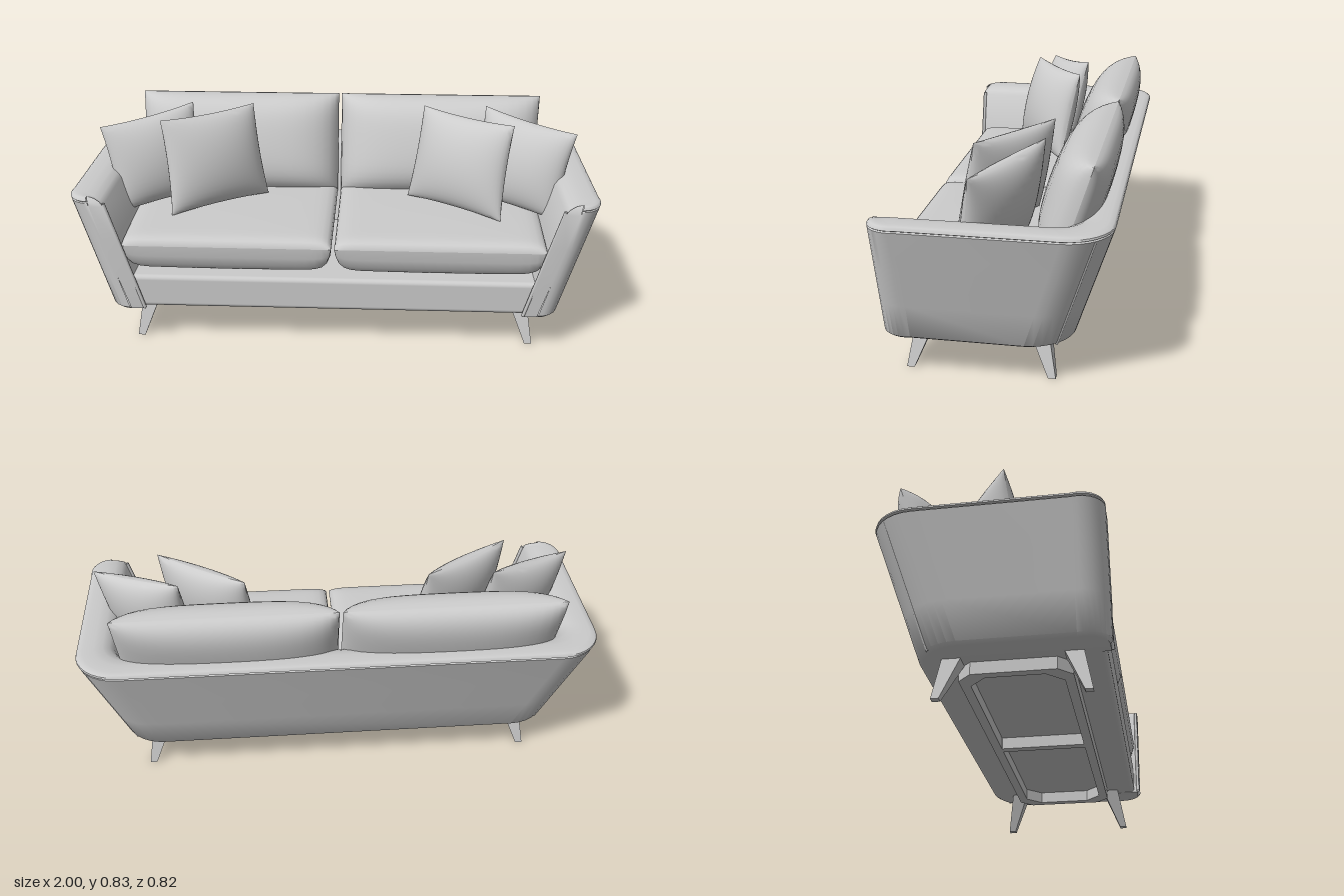
import * as THREE from 'three';
import { toCreasedNormals } from 'three/addons/utils/BufferGeometryUtils.js';
import { RoundedBoxGeometry } from 'three/addons/geometries/RoundedBoxGeometry.js';

const material = new THREE.MeshStandardMaterial({ color: 0xcccccc, side: THREE.DoubleSide });
const V = (x, y, z) => new THREE.Vector3(x, y, z);

function add(parent, name, geometry) {
  const mesh = new THREE.Mesh(geometry, material);
  mesh.name = name;
  parent.add(mesh);
  return mesh;
}

// Smooth surface from a grid of points: at(i, j) gives each vertex
function grid(ni, nj, at, crease = 0.7) {
  const pos = [], idx = [];
  for (let i = 0; i <= ni; i++)
    for (let j = 0; j <= nj; j++) pos.push(...at(i, j).toArray());
  for (let i = 0; i < ni; i++)
    for (let j = 0; j < nj; j++) {
      const a = i * (nj + 1) + j, b = a + nj + 1;
      idx.push(a, b, a + 1, b, b + 1, a + 1);
    }
  const g = new THREE.BufferGeometry();
  g.setAttribute('position', new THREE.Float32BufferAttribute(pos, 3));
  g.setIndex(idx);
  return toCreasedNormals(g, crease);
}

// Flaring shell: half width and back edge grow with height
const BOTTOM = 0.155, WALL = 0.13, FRONT = 0.41;
const flare = y => (y - BOTTOM) / 0.47;
const halfWidth = y => 0.865 + 0.135 * flare(y);
const backEdge = y => -0.26 - 0.15 * flare(y);

// U-shaped plan at height y, inset d from the outside, front pulled back by e
function plan(y, d, e) {
  const hx = halfWidth(y), x = hx - d, zb = backEdge(y) + d, zf = FRONT - e;
  const k = d / WALL, rf = 0.1 * (1 - k) + 0.012, rb = 0.16 - 0.07 * k;
  const half = [V(hx - WALL * 0.6, y, zf)];
  const corner = (cx, cz, r, from) => {
    for (let i = 0; i <= 8; i++) {
      const a = from - (i / 8) * Math.PI / 2;
      half.push(V(cx + r * Math.cos(a), y, cz + r * Math.sin(a)));
    }
  };
  // inner edge keeps its small corner within the front panel
  corner(x - Math.min(rf, Math.max(0.004, WALL * 0.6 - d)), zf - rf, rf, Math.PI / 2);
  const shift = x - half[9].x;
  for (let i = 1; i <= 9; i++) half[i].x += shift * ((i - 1) / 8);
  corner(x - rb, zb + rb, rb, 0);
  return [...half, ...half.slice().reverse().map(p => V(-p.x, p.y, p.z))];
}

function shell() {
  // rows: height, inset, front pull-back
  const rows = [
    [BOTTOM, WALL, 0.01], [BOTTOM, 0.012, 0.01], [0.165, 0, 0], [0.3, 0, 0], [0.45, 0, 0],
    [0.603, 0, 0], [0.607, 0.006, 0.004], [0.611, 0, 0], [0.618, 0.004, 0.004],
    [0.623, 0.012, 0.01], [0.625, 0.03, 0.02], [0.625, 0.07, 0.02], [0.62, 0.1, 0.014],
    [0.608, 0.12, 0.006], [0.59, WALL, 0], [0.45, WALL, 0], [0.3, WALL, 0], [BOTTOM, WALL, 0.01],
  ].map(r => plan(...r));
  return grid(rows[0].length - 1, rows.length - 1, (i, j) => rows[j][i]);
}

// Stuffed cushion spanned by four corners, bulging to both sides of its seam
function cushion([a, b, c, d], { front, back, n = 2, pinch = 0, dome = 0 }) {
  const N = 22;
  const normal = b.clone().sub(a).cross(d.clone().sub(a)).normalize();
  const s = i => Math.sin((i / N - 0.5) * Math.PI);
  const edge = t => Math.sqrt(Math.max(0, 1 - Math.abs(t) ** n));
  const point = (i, j, h) => {
    const u = s(i), v = s(j);
    const pu = (u * (1 - pinch * (1 - v * v)) + 1) / 2, pv = (v * (1 - pinch * (1 - u * u)) + 1) / 2;
    const p = a.clone().lerp(b, pu).lerp(d.clone().lerp(c, pu), pv);
    const swell = 1 - dome + dome * (1 - u * u) * (1 - v * v);
    return p.addScaledVector(normal, h * edge(u) * edge(v) * swell);
  };
  return [
    grid(N, N, (i, j) => point(i, j, front), 1),
    grid(N, N, (i, j) => point(N - i, j, -back), 1),
  ];
}

function addCushion(parent, name, side, corners, options) {
  let c = corners.map(p => V(p[0] * side, p[1], p[2]));
  if (side < 0) c = [c[1], c[0], c[3], c[2]];
  const group = new THREE.Group();
  group.name = name;
  cushion(c, options).forEach((g, i) => add(group, name + (i ? 'Back' : 'Front'), g));
  parent.add(group);
}

// Square leg tapering from a wide top to a small splayed foot
function leg(top, foot) {
  const g = new THREE.CylinderGeometry(Math.SQRT1_2, Math.SQRT1_2, 1, 4).rotateY(Math.PI / 4).toNonIndexed();
  const p = g.attributes.position;
  for (let i = 0; i < p.count; i++) {
    const up = p.getY(i) > 0, o = up ? top : foot, w = up ? 0.066 : 0.028;
    p.setXYZ(i, o.x + p.getX(i) * w, o.y, o.z + p.getZ(i) * w);
  }
  g.computeVertexNormals();
  return g;
}

// Octagonal wooden frame with a middle bar
function underframe() {
  const octagon = (x0, x1, z0, z1, c0, c1) => [
    [x0 + c0, z0], [x1 - c1, z0], [x1, z0 + c1], [x1, z1 - c1],
    [x1 - c1, z1], [x0 + c0, z1], [x0, z1 - c0], [x0, z0 + c0],
  ].map(p => new THREE.Vector2(...p));
  const shape = new THREE.Shape(octagon(-0.72, 0.72, -0.265, 0.135, 0.05, 0.05));
  shape.holes.push(
    new THREE.Path(octagon(-0.685, -0.018, -0.23, 0.1, 0.06, 0.001)),
    new THREE.Path(octagon(0.018, 0.685, -0.23, 0.1, 0.001, 0.06)));
  return new THREE.ExtrudeGeometry(shape, { depth: 0.048, bevelEnabled: false })
    .rotateX(-Math.PI / 2).translate(0, 0.11, 0);
}

export function createModel() {
  const sofa = new THREE.Group();
  sofa.name = 'sofa';

  add(sofa, 'armAndBackShell', shell());
  add(sofa, 'seatBase', new RoundedBoxGeometry(1.6, 0.133, 0.605, 3, 0.018)).position.set(0, 0.223, 0.0825);
  add(sofa, 'underframe', underframe());

  for (const side of [1, -1]) {
    const tag = side > 0 ? 'left' : 'right';

    // Piping on the arm front and the rear corner seam
    const line = (name, f) => add(sofa, tag + name, new THREE.TubeGeometry(
      new THREE.LineCurve3(f(0.16), f(0.6)), 4, 0.007, 6));
    line('ArmPiping', y => V(side * (halfWidth(y) - WALL - 0.004), y, 0.402));
    line('CornerPiping', y => V(side * (halfWidth(y) - 0.049), y, backEdge(y) + 0.053));

    add(sofa, tag + 'FrontLeg', leg(V(side * 0.727, 0.156, 0.278), V(side * 0.771, 0, 0.326)));
    add(sofa, tag + 'BackLeg', leg(V(side * 0.727, 0.156, -0.142), V(side * 0.771, 0, -0.188)));

    // Seat and back cushions
    addCushion(sofa, tag + 'SeatCushion', side,
      [[0.006, 0.42, 0.39], [0.81, 0.42, 0.39], [0.83, 0.42, -0.24], [0.006, 0.42, -0.24]],
      { front: 0.038, back: 0.132, n: 16, dome: 0.15 });
    addCushion(sofa, tag + 'BackCushion', side,
      [[0.006, 0.41, -0.2], [0.82, 0.41, -0.2], [0.845, 0.812, -0.33], [0.006, 0.812, -0.33]],
      { front: 0.14, back: 0.08, n: 5, dome: 0.2 });

    // Throw pillows
    const soft = { front: 0.075, back: 0.075, n: 2, pinch: 0.05 };
    addCushion(sofa, tag + 'InnerPillow', side,
      [[0.29, 0.46, -0.06], [0.65, 0.455, 0.18], [0.69, 0.825, 0.1], [0.35, 0.828, -0.13]], soft);
    addCushion(sofa, tag + 'OuterPillow', side,
      [[0.55, 0.47, -0.06], [0.87, 0.44, 0.12], [0.94, 0.782, 0.065], [0.6, 0.828, -0.135]], soft);
  }
  return sofa;
}
